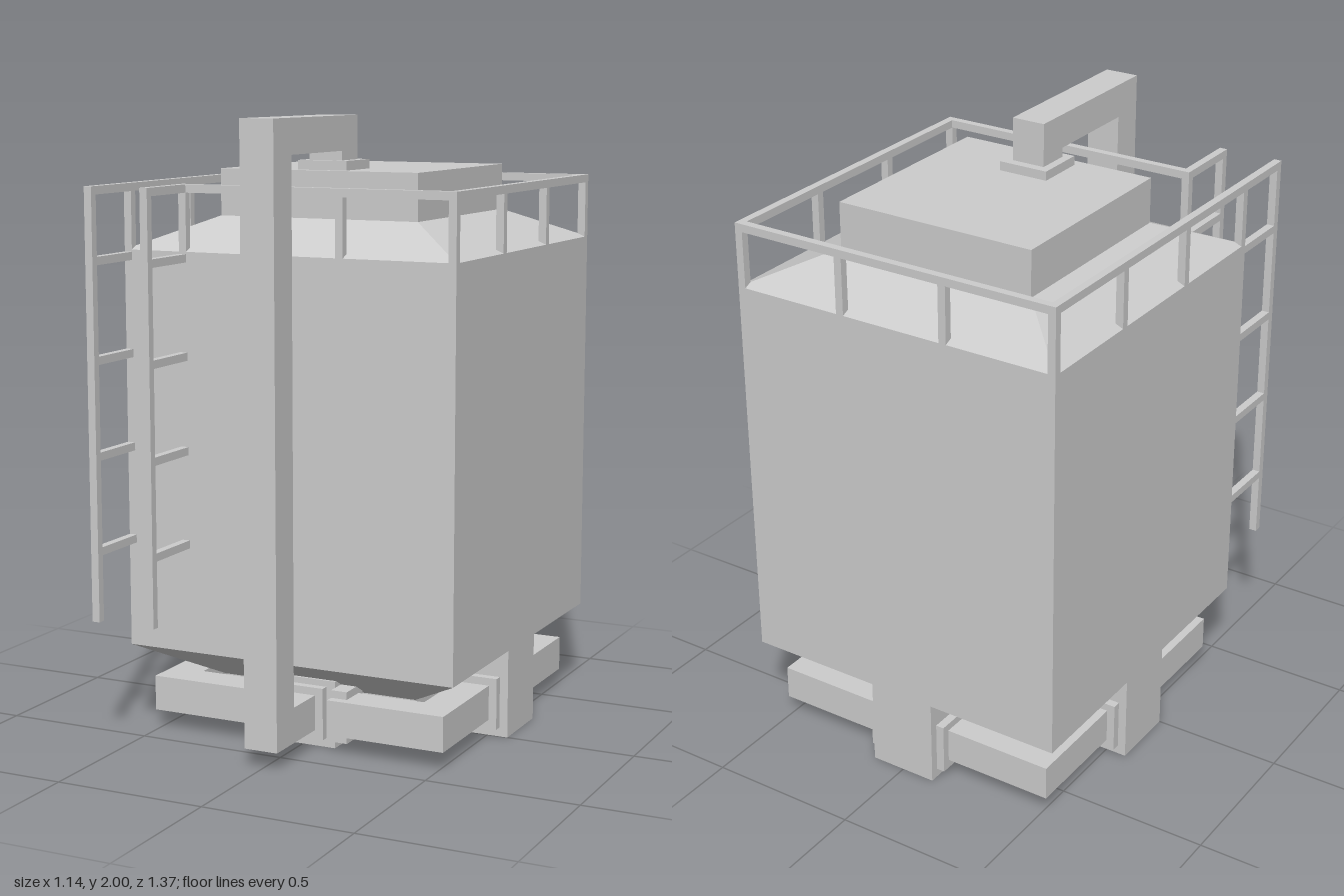
import * as THREE from 'three';

const ZC = -0.115;            // tank axis in z
const H = 0.57;               // tank half width
const T = 0.026;              // rail and post thickness
const mat = new THREE.MeshStandardMaterial({ color: 0xcccccc, flatShading: true });

function add(parent, name, geometry) {
  const mesh = new THREE.Mesh(geometry, mat);
  mesh.name = name;
  parent.add(mesh);
  return mesh;
}

// box given by its limits on each axis
function box(parent, name, x0, x1, y0, y1, z0, z1) {
  const g = new THREE.BoxGeometry(x1 - x0, y1 - y0, z1 - z0);
  g.translate((x0 + x1) / 2, (y0 + y1) / 2, (z0 + z1) / 2);
  return add(parent, name, g);
}

// square frustum from half width a at y0 to half width b at y1
function frustum(parent, name, a, b, y0, y1) {
  const g = new THREE.CylinderGeometry(b * Math.SQRT2, a * Math.SQRT2, y1 - y0, 4);
  g.rotateY(Math.PI / 4);
  g.translate(0, (y0 + y1) / 2, ZC);
  return add(parent, name, g);
}

function extrude(points, depth) {
  const shape = new THREE.Shape(points.map(([x, y]) => new THREE.Vector2(x, y)));
  return new THREE.ExtrudeGeometry(shape, { depth, bevelEnabled: false });
}

export function createModel() {
  const model = new THREE.Group();
  model.name = 'storageTank';

  // tank shell, sloped roof, hopper and lid
  frustum(model, 'hopper', 0.345, H, 0.16, 0.29);
  frustum(model, 'tankBody', H, H, 0.29, 1.58);
  frustum(model, 'roof', H, 0.345, 1.58, 1.68);
  frustum(model, 'lid', 0.345, 0.345, 1.68, 1.83);

  // base block with four legs; the front leg is shorter
  const base = new THREE.Group();
  base.name = 'base';
  model.add(base);
  box(base, 'baseBlock', -0.345, 0.345, 0, 0.165, ZC - 0.345, ZC + 0.345);
  for (const s of [-1, 1]) {
    const [x0, x1] = s > 0 ? [0.345, H] : [-H, -0.345];
    box(base, 'sideLeg', x0, x1, 0, 0.29, ZC - 0.115, ZC + 0.115);
  }
  box(base, 'backLeg', -0.115, 0.115, 0, 0.29, ZC - H, ZC - 0.345);
  box(base, 'frontLeg', -0.115, 0.115, 0, 0.22, ZC + 0.345, 0.343);

  // L-shaped ducts around the corners
  const ductShape = [[0.115, 0.4], [0.4, 0.4], [0.4, 0.115], [0.515, 0.115], [0.515, 0.515], [0.115, 0.515]];
  for (let i = 0; i < 4; i++) {
    const g = extrude(ductShape, 0.115);
    g.rotateX(-Math.PI / 2);
    g.rotateY(i * Math.PI / 2);
    g.translate(0, 0.06, ZC);
    add(model, 'cornerDuct', g);
  }

  // flanges where ducts meet the legs
  for (const s of [-1, 1]) {
    const a = s > 0 ? 0.115 : -0.143;
    const b = a + 0.028;
    box(model, 'backFlange', a, b, 0.03, 0.2, ZC - 0.542, ZC - 0.37);
    const fx = s > 0 ? [0.115, 0.17] : [-0.17, -0.115];
    box(model, 'frontFlange', fx[0], fx[1], 0.03, 0.2, ZC + 0.37, 0.37);
    for (const x of [-0.542, 0.37]) {
      box(model, 'sideFlange', x, x + 0.172, 0.03, 0.2, ZC + a, ZC + b);
    }
  }

  // outlet pipe rising in front of the tank and over to the lid
  const pipe = extrude([
    [0.343, 0.06], [0.63, 0.06], [0.63, 2], [0.06, 2], [0.06, 1.86], [0.17, 1.86],
    [0.17, 1.89], [0.515, 1.89], [0.515, 0.175], [0.343, 0.175],
  ], 0.114);
  pipe.rotateY(-Math.PI / 2);
  pipe.translate(0.057, 0, 0);
  add(model, 'mainPipe', pipe);
  box(model, 'lidFlange', -0.085, 0.085, 1.83, 1.86, 0.03, 0.197);
  box(model, 'pipeFlange', -0.085, 0.085, 0.03, 0.2, 0.343, 0.37);

  // railing: top rails with an opening at the ladder
  const railing = new THREE.Group();
  railing.name = 'railing';
  model.add(railing);
  const zF = ZC + H, zB = ZC - H, yR = 1.79 - T;
  box(railing, 'frontRail', -0.372, H, yR, 1.79, zF - T, zF);
  box(railing, 'backRail', -H, H, yR, 1.79, zB, zB + T);
  for (const x of [-H, H - T]) {
    box(railing, 'sideRail', x, x + T, yR, 1.79, zB + T, zF - (x > 0 ? T : 0));
  }
  const post = (x, z) => box(railing, 'railPost', x - T / 2, x + T / 2, 1.57, yR, z - T / 2, z + T / 2);
  const e = H - T / 2;
  for (const t of [-e, -0.185, 0.185, e]) post(t, ZC - e);
  for (const s of [-1, 1]) {
    for (const t of [-0.185, 0.185, e]) post(s * e, ZC + t);
  }
  for (const x of [-0.359, 0.185]) post(x, ZC + e);

  // ladder: two stiles with brackets to the tank and rails at the top
  const ladder = new THREE.Group();
  ladder.name = 'ladder';
  model.add(ladder);
  for (const x of [-H, -0.372]) {
    box(ladder, 'stile', x, x + T, 0.42, 1.79, 0.685 - T, 0.685);
    box(ladder, 'handRail', x, x + T, yR, 1.79, zF, 0.685 - T);
    for (const y of [0.645, 0.948, 1.25, 1.56]) {
      box(ladder, 'bracket', x, x + T, y - T / 2, y + T / 2, zF, 0.685 - T);
    }
  }

  return model;
}
